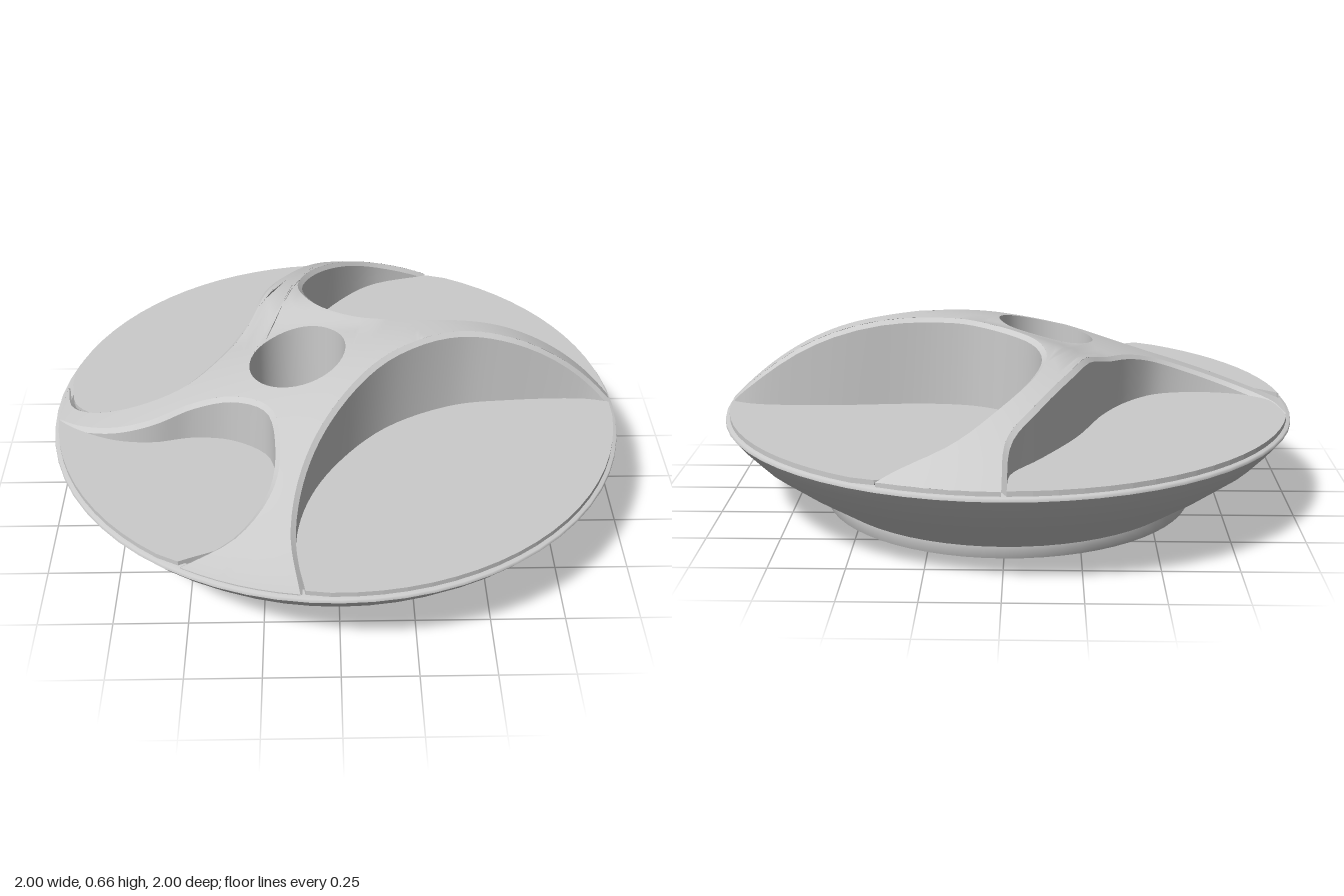
import * as THREE from 'three';

const RIM = 0.985, FLOOR = 0.35, HOLE = { x: -0.135, z: 0.055, r: 0.167 };
const material = new THREE.MeshStandardMaterial({ color: 0xcccccc, side: THREE.DoubleSide });

// Ridge edge of each compartment as [x, z], all running the same way round
const edges = {
  frontLeft: [[0.985, -0.01], [0.89, -0.03], [0.62, -0.025], [0.41, 0.005], [0.165, 0.135], [-0.02, 0.35],
    [-0.12, 0.56], [-0.155, 0.775], [-0.125, 0.977]],
  frontRight: [[-0.5, 0.85], [-0.315, 0.76], [-0.21, 0.615], [-0.19, 0.455], [-0.225, 0.295], [-0.355, 0.2],
    [-0.5, 0.18], [-0.64, 0.205], [-0.77, 0.19], [-0.905, 0.125], [-0.985, 0.06]],
  backRight: [[-0.976, -0.13], [-0.945, 0], [-0.85, 0.075], [-0.69, 0.105], [-0.53, 0.075], [-0.415, -0.03],
    [-0.32, -0.19], [-0.22, -0.455], [-0.1, -0.68], [-0.01, -0.83], [0, -0.985]],
  backLeft: [[0.38, -0.91], [0.155, -0.84], [0.02, -0.72], [-0.1, -0.535], [-0.135, -0.375], [-0.075, -0.225],
    [0.085, -0.1], [0.27, -0.065], [0.62, -0.09], [0.89, -0.08], [0.984, -0.04]],
};

// Height of the ridge top: an off-centre dome, fuller to the left and back
function height(x, z) {
  const px = 0.27, dx = x - px, dz = z, d2 = dx * dx + dz * dz;
  if (d2 < 1e-6) return 0.66;
  const b = px * dx;
  const s = (-b + Math.sqrt(b * b + d2 * (1 - px * px))) / d2;
  const t = Math.min(1, 1 / s);
  const full = 1 - t ** 2.5, hollow = (1 - t ** 1.7) ** 1.3;
  const w = THREE.MathUtils.smoothstep((dx - dz) / Math.sqrt(2 * d2), -0.6, -0.1);
  return 0.335 + 0.325 * (hollow + (full - hollow) * w);
}

function mesh(name, geometry) {
  const m = new THREE.Mesh(geometry, material);
  m.name = name;
  return m;
}

// Surface between two rows of [x, y, z] points
function strip(low, high) {
  const n = low.length, index = [];
  for (let i = 0; i < n - 1; i++) index.push(i, i + n, i + 1, i + 1, i + n, i + n + 1);
  const g = new THREE.BufferGeometry();
  g.setAttribute('position', new THREE.Float32BufferAttribute([...low, ...high].flat(), 3));
  g.setIndex(index);
  g.computeVertexNormals();
  return g;
}

// Points along the rim between two [x, z] points, by the shorter way or as asked
function rimArc(from, to, forward) {
  const a = Math.atan2(from[1], from[0]);
  let d = Math.atan2(to[1], to[0]) - a;
  if (forward && d < 0) d += Math.PI * 2;
  if (!forward && d > 0) d -= Math.PI * 2;
  const n = Math.max(3, Math.ceil(Math.abs(d) / 0.08));
  return Array.from({ length: n + 1 }, (_, i) =>
    [RIM * Math.cos(a + d * i / n), RIM * Math.sin(a + d * i / n)]);
}

const toShape = (pts) => new THREE.Shape(pts.map(([x, z]) => new THREE.Vector2(x, -z)));

// Smooth edge curve, with a copy shifted into the compartment
function edgeCurves(points) {
  const curve = new THREE.CatmullRomCurve3(points.map(([x, z]) => new THREE.Vector3(x, 0, z)));
  const ridge = [], floor = [], n = 44;
  for (let i = 0; i <= n; i++) {
    const p = curve.getPoint(i / n), t = curve.getTangent(i / n);
    const q = [p.x + t.z * 0.016, p.z - t.x * 0.016];
    const k = Math.min(1, RIM / Math.hypot(...q));
    ridge.push([p.x, p.z]);
    floor.push([q[0] * k, q[1] * k]);
  }
  return { ridge, floor };
}

// Ridge top: flat outline split into finer triangles, then lifted to the dome
function ridgeTop(outline) {
  const shape = toShape(outline);
  shape.holes.push(new THREE.Path().absarc(HOLE.x, -HOLE.z, HOLE.r, 0, Math.PI * 2, true));
  const flat = new THREE.ShapeGeometry(shape, 24).toNonIndexed().attributes.position;
  const pos = [], normal = [], e = 0.004;
  const put = ([x, z]) => {
    pos.push(x, height(x, z), z);
    const n = new THREE.Vector3(height(x - e, z) - height(x + e, z), 2 * e,
      height(x, z - e) - height(x, z + e)).normalize();
    normal.push(n.x, n.y, n.z);
  };
  const mid = (a, b) => [(a[0] + b[0]) / 2, (a[1] + b[1]) / 2];
  const split = (a, b, c, level) => {
    if (!level) return [a, b, c].forEach(put);
    const ab = mid(a, b), bc = mid(b, c), ca = mid(c, a);
    [[a, ab, ca], [ab, b, bc], [ca, bc, c], [ab, bc, ca]].forEach((t) => split(...t, level - 1));
  };
  const at = (i) => [flat.getX(i), -flat.getY(i)];
  for (let i = 0; i < flat.count; i += 3) split(at(i), at(i + 1), at(i + 2), 2);
  const g = new THREE.BufferGeometry();
  g.setAttribute('position', new THREE.Float32BufferAttribute(pos, 3));
  g.setAttribute('normal', new THREE.Float32BufferAttribute(normal, 3));
  return g;
}

export function createModel() {
  const group = new THREE.Group();

  // Bowl: foot ring and flared wall, as lathed sections that keep crisp corners
  const bowl = new THREE.Group();
  bowl.name = 'bowl';
  const sections = {
    footRing: [[0.64, 0.04], [0.64, 0], [0.655, 0], [0.655, 0.04]],
    outerWall: [[0.655, 0.04], [0.79, 0.13], [0.91, 0.22], [0.97, 0.283], [1, 0.32]],
    rim: [[1, 0.32], [0.998, 0.332], [0.96, 0.335]],
    innerWall: [[0.975, 0.32], [0.9, 0.235], [0.78, 0.145], [0.64, 0.04]],
  };
  for (const [name, pts] of Object.entries(sections)) {
    bowl.add(mesh(name, new THREE.LatheGeometry(pts.map((p) => new THREE.Vector2(...p)), 64)));
  }
  group.add(bowl);

  // Compartments: floor plate, upright wall and chamfer up to the ridge
  const names = Object.keys(edges), curves = names.map((n) => edgeCurves(edges[n]));
  const outline = [];
  curves.forEach(({ ridge, floor }, i) => {
    const part = new THREE.Group();
    part.name = names[i] + 'Compartment';

    const back = rimArc(floor[floor.length - 1], floor[0], false).slice(1, -1);
    const plate = new THREE.ExtrudeGeometry(toShape([...floor, ...back]), { depth: 0.03, bevelEnabled: false });
    plate.rotateX(-Math.PI / 2).translate(0, FLOOR - 0.03, 0);
    part.add(mesh('floor', plate));

    const shoulder = floor.map(([x, z], k) => [x, Math.max(0.325, height(...ridge[k]) - 0.014), z]);
    part.add(mesh('wall', strip(floor.map(([x, z]) => [x, 0.32, z]), shoulder)));
    part.add(mesh('chamfer', strip(shoulder, ridge.map(([x, z]) => [x, height(x, z), z]))));
    group.add(part);

    // Tip of the ridge arm at the rim
    const next = curves[(i + 1) % curves.length].ridge[0];
    const tip = rimArc(ridge[ridge.length - 1], next, true);
    group.add(mesh('ridgeTip', strip(tip.map(([x, z]) => [x, 0.32, z]), tip.map(([x, z]) => [x, height(x, z), z]))));
    outline.push(...ridge, ...tip.slice(1, -1));
  });
  group.add(mesh('ridge', ridgeTop(outline)));

  // Centre tube, its top cut to the slope of the ridge
  const tube = new THREE.CylinderGeometry(HOLE.r, HOLE.r, 1, 48, 1, true);
  tube.translate(HOLE.x, 0, HOLE.z);
  const p = tube.attributes.position;
  for (let i = 0; i < p.count; i++) p.setY(i, p.getY(i) > 0 ? height(p.getX(i), p.getZ(i)) : 0.03);
  group.add(mesh('centreTube', tube));

  return group;
}
